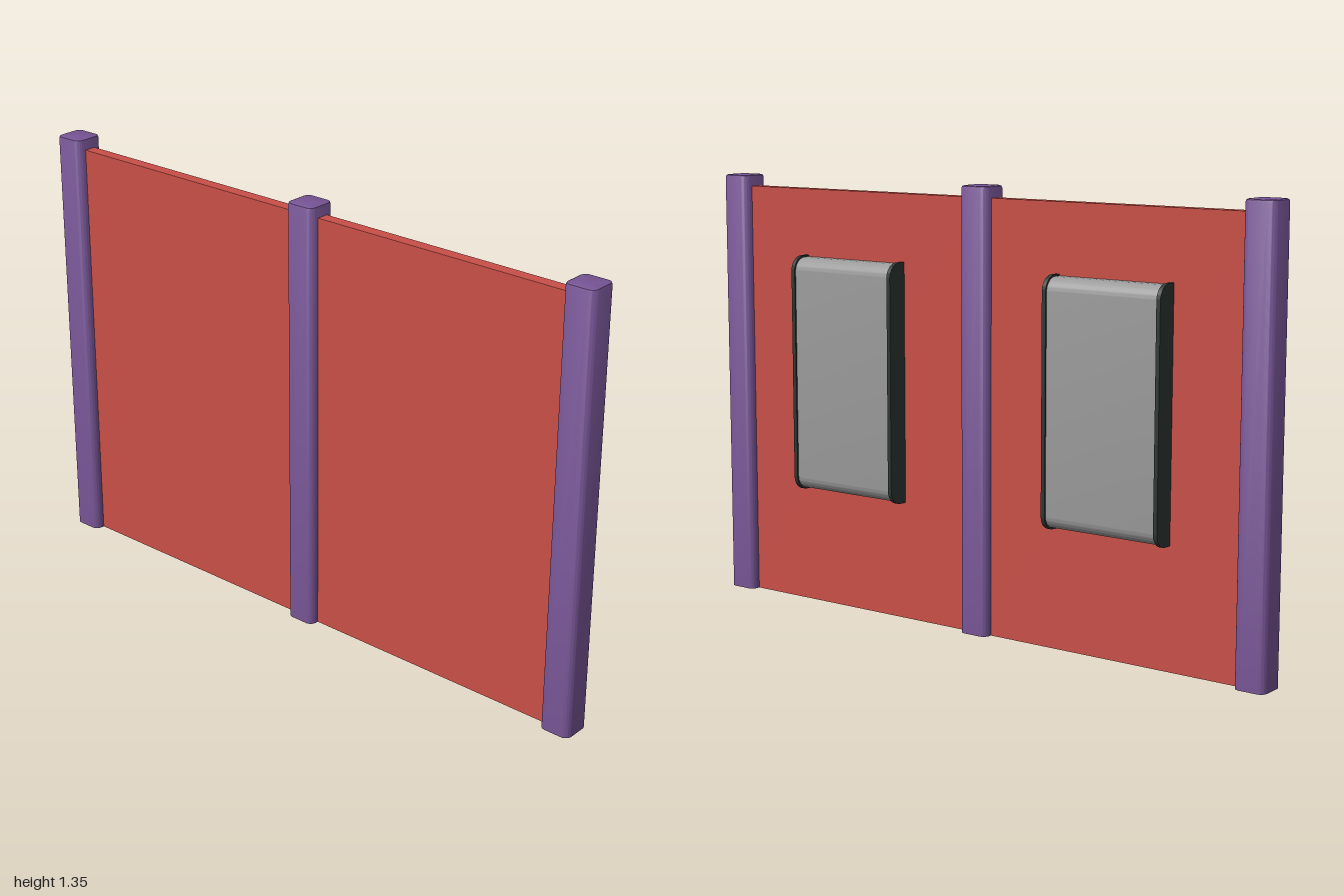
import * as THREE from 'three';
import { toCreasedNormals } from 'three/addons/utils/BufferGeometryUtils.js';

const mat = (name, color, side = THREE.FrontSide) => {
  const m = new THREE.MeshStandardMaterial({ color, side });
  m.name = name;
  return m;
};

// Rounded rectangle outline centred on the origin
function roundedRect(w, h, r) {
  const x = w / 2, y = h / 2, s = new THREE.Shape();
  s.absarc(x - r, y - r, r, 0, Math.PI / 2);
  s.absarc(-x + r, y - r, r, Math.PI / 2, Math.PI);
  s.absarc(-x + r, -y + r, r, Math.PI, Math.PI * 1.5);
  s.absarc(x - r, -y + r, r, Math.PI * 1.5, Math.PI * 2);
  s.closePath();
  return s;
}

// Hollow post, open at the foot, with a bevelled closed top
function postGeometry(width, height, radius, bevel) {
  const rings = [[0, 0], [height - bevel, 0], [height - bevel * 0.3, bevel * 0.3], [height, bevel]];
  const pos = [], index = [];
  let n = 0;
  for (const [y, inset] of rings) {
    const pts = roundedRect(width - 2 * inset, width - 2 * inset, radius - inset).getPoints(6);
    pts.pop();
    n = pts.length;
    for (const p of pts) pos.push(p.x, y, -p.y);
  }
  for (let k = 0; k < rings.length - 1; k++) {
    for (let i = 0; i < n; i++) {
      const a = k * n + i, b = k * n + (i + 1) % n;
      index.push(a, b, b + n, a, b + n, a + n);
    }
  }
  const last = (rings.length - 1) * n;
  pos.push(0, height, 0);
  for (let i = 0; i < n; i++) index.push(last + i, last + (i + 1) % n, rings.length * n);
  const g = new THREE.BufferGeometry();
  g.setAttribute('position', new THREE.Float32BufferAttribute(pos, 3));
  g.setIndex(index);
  return toCreasedNormals(g, 0.6);
}

// Rounded slab extruded along x: flat against the panel, rounded at the back
function slabGeometry(width, height, depth, r) {
  const h = height / 2, s = new THREE.Shape();
  s.moveTo(0, -h);
  s.lineTo(depth - r, -h);
  s.absarc(depth - r, -h + r, r, -Math.PI / 2, 0);
  s.absarc(depth - r, h - r, r, 0, Math.PI / 2);
  s.lineTo(0, h);
  s.closePath();
  const g = new THREE.ExtrudeGeometry(s, { depth: width, bevelEnabled: false, curveSegments: 10 });
  g.translate(0, 0, -width / 2);
  g.rotateY(Math.PI / 2);
  return toCreasedNormals(g, 0.6);
}

export function createModel() {
  const red = mat('red panel', 0xc84f47);
  const purple = mat('purple post', 0x765494, THREE.DoubleSide);
  const grey = mat('grey screen', 0x9a9a9a);
  const dark = mat('dark trim', 0x2e3735);

  const model = new THREE.Group();
  model.name = 'partitionWall';
  const add = (name, geometry, material, x, y, z) => {
    const m = new THREE.Mesh(geometry, material);
    m.name = name;
    m.position.set(x, y, z);
    model.add(m);
  };

  // Three upright posts
  const post = postGeometry(0.098, 1.35, 0.022, 0.008);
  [['rightPost', -0.951], ['centrePost', 0], ['leftPost', 0.951]]
    .forEach(([name, x]) => add(name, post, purple, x, 0, 0.019));

  // Two wall panels, each with a framed board on the back
  const panel = new THREE.BoxGeometry(0.951, 1.315, 0.038);
  const board = slabGeometry(0.372, 0.732, 0.064, 0.042);
  const trim = slabGeometry(0.013, 0.742, 0.069, 0.045);
  for (const [side, s] of [['right', -1], ['left', 1]]) {
    add(side + 'Panel', panel, red, s * 0.4755, 0.6575, 0.019);
    add(side + 'Board', board, grey, s * 0.4775, 0.738, 0);
    for (const [edge, t] of [['Inner', -1], ['Outer', 1]]) {
      add(side + edge + 'Trim', trim, dark, s * (0.4775 + t * 0.1915), 0.738, 0);
    }
  }
  return model;
}
